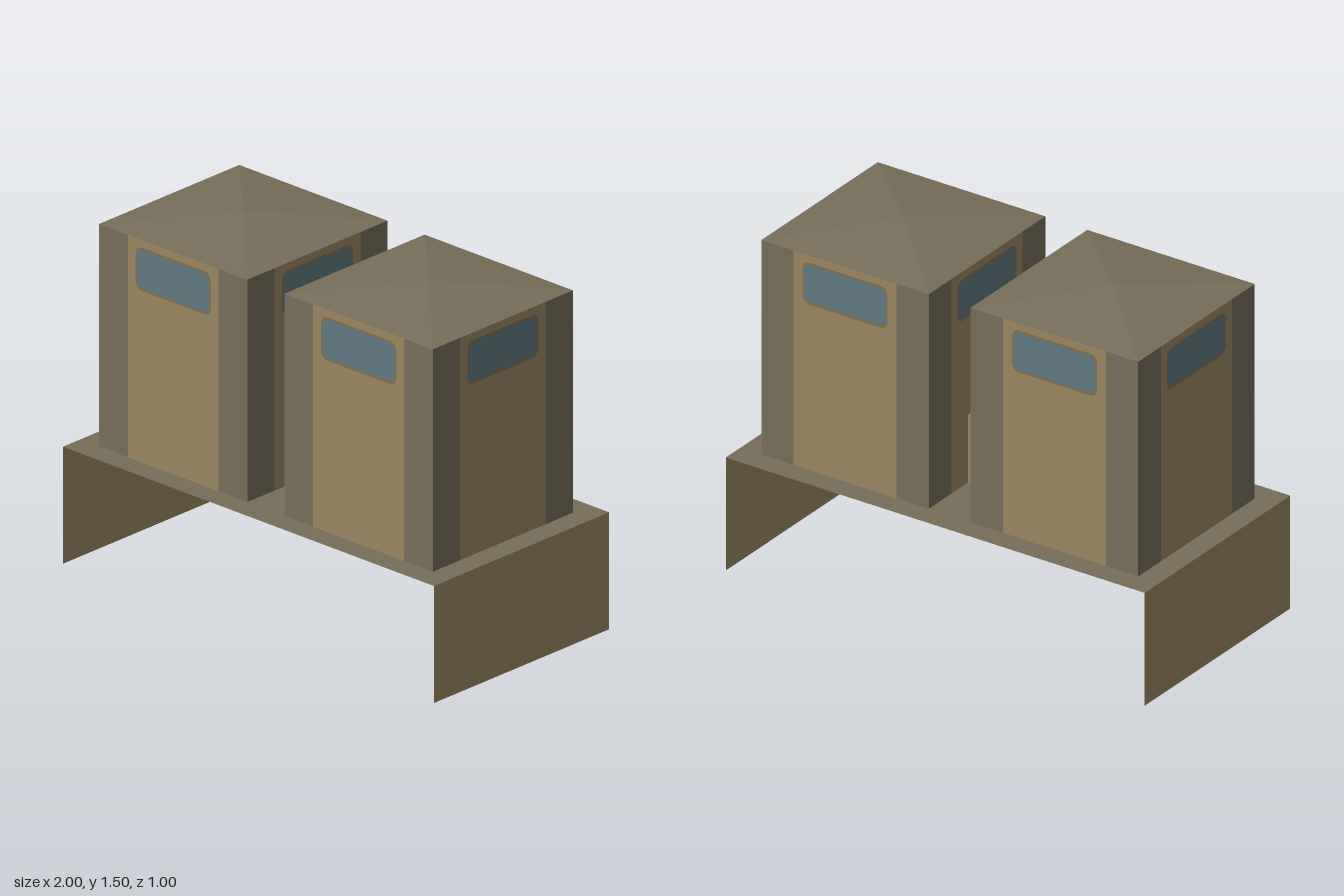
import * as THREE from 'three';

const flat = (name, color) => {
  const m = new THREE.MeshStandardMaterial({ color, side: THREE.DoubleSide, flatShading: true });
  m.name = name;
  return m;
};

// Shape or hole from [x, y] corners
const polygon = (points, Type = THREE.Shape) => new Type(points.map(([x, y]) => new THREE.Vector2(x, y)));

function roundedRect(Type, w, y0, y1, r) {
  const s = new Type();
  s.moveTo(-w + r, y0);
  s.lineTo(w - r, y0);
  s.quadraticCurveTo(w, y0, w, y0 + r);
  s.lineTo(w, y1 - r);
  s.quadraticCurveTo(w, y1, w - r, y1);
  s.lineTo(-w + r, y1);
  s.quadraticCurveTo(-w, y1, -w, y1 - r);
  s.lineTo(-w, y0 + r);
  s.quadraticCurveTo(-w, y0, -w + r, y0);
  return s;
}

export function createModel() {
  const tan = flat('tan wall', 0x9b8760);
  const grey = flat('grey brown trim', 0x776e59);
  const brown = flat('window surround', 0x85704f);
  const blue = flat('blue glass', 0x5f7880);

  const DECK = 0.5, EAVES = 1.45, TOP = 1.5; // heights
  const HALF = 0.4, BAND = 0.245;            // half tower width, half centre panel
  const DOOR = 0.13, DOOR_TOP = 0.8;         // passage between the towers

  const sheet = (parent, name, shape, material) => {
    const mesh = new THREE.Mesh(new THREE.ShapeGeometry(shape, 5), material);
    mesh.name = name;
    parent.add(mesh);
    return mesh;
  };

  // One tower side: tan panel between two grey corner bands, with a window
  function wall(hasDoor) {
    const g = new THREE.Group();
    g.name = hasDoor ? 'wallWithDoorway' : 'wall';
    const door = hasDoor ? [[-DOOR, DECK], [-DOOR, DOOR_TOP], [DOOR, DOOR_TOP], [DOOR, DECK]] : [];
    const panel = polygon([[-BAND, DECK], ...door, [BAND, DECK], [BAND, EAVES], [-BAND, EAVES]]);
    panel.holes.push(roundedRect(THREE.Path, 0.203, 1.232, 1.418, 0.04));
    sheet(g, 'centrePanel', panel, tan);

    const surround = roundedRect(THREE.Shape, 0.203, 1.232, 1.418, 0.04);
    surround.holes.push(roundedRect(THREE.Path, 0.196, 1.243, 1.408, 0.035));
    sheet(g, 'windowSurround', surround, brown);
    sheet(g, 'window', roundedRect(THREE.Shape, 0.196, 1.243, 1.408, 0.035), blue);

    for (const [a, b] of [[-HALF, -BAND], [BAND, HALF]]) {
      sheet(g, 'cornerBand', polygon([[a, DECK], [b, DECK], [b, EAVES], [a, EAVES]]), grey);
    }
    return g;
  }

  // Four walls under a low pyramid roof; doorSide is the index of the inner wall
  function tower(name, x, doorSide) {
    const g = new THREE.Group();
    g.name = name;
    g.position.x = x;
    for (let i = 0; i < 4; i++) {
      const side = wall(i === doorSide);
      const angle = i * Math.PI / 2;
      side.rotation.y = angle;
      side.position.set(Math.sin(angle) * HALF, 0, Math.cos(angle) * HALF);
      g.add(side);
    }
    const cone = new THREE.ConeGeometry(HALF * Math.SQRT2, TOP - EAVES, 4, 1, true);
    cone.rotateY(Math.PI / 4);
    const roof = new THREE.Mesh(cone, grey);
    roof.name = 'roof';
    roof.position.y = (TOP + EAVES) / 2;
    g.add(roof);
    return g;
  }

  const model = new THREE.Group();
  model.name = 'twinTowers';
  model.add(tower('leftTower', 0.5, 3), tower('rightTower', -0.5, 1));

  // Deck, open beneath the towers and the passage
  const deckShape = polygon([[-1, -0.5], [1, -0.5], [1, 0.5], [-1, 0.5]]);
  deckShape.holes.push(polygon([
    [-0.9, -HALF], [-0.1, -HALF], [-0.1, -DOOR], [0.1, -DOOR], [0.1, -HALF], [0.9, -HALF],
    [0.9, HALF], [0.1, HALF], [0.1, DOOR], [-0.1, DOOR], [-0.1, HALF], [-0.9, HALF],
  ], THREE.Path));
  const deck = sheet(model, 'deck', deckShape, grey);
  deck.rotation.x = -Math.PI / 2;
  deck.position.y = DECK;

  // Passage: two side walls and a flat top
  const plate = (name, w, h) => {
    const mesh = new THREE.Mesh(new THREE.PlaneGeometry(w, h), tan);
    mesh.name = name;
    model.add(mesh);
    return mesh;
  };
  for (const s of [1, -1]) {
    const side = plate('passageWall', 0.2, DOOR_TOP - DECK);
    side.position.set(0, (DECK + DOOR_TOP) / 2, s * DOOR);
    side.rotation.y = s > 0 ? 0 : Math.PI;

    // End supports carrying the deck
    const support = plate('endSupport', 1, DECK);
    support.position.set(s, DECK / 2, 0);
    support.rotation.y = s * Math.PI / 2;
  }
  const top = plate('passageTop', 0.2, DOOR * 2);
  top.rotation.x = -Math.PI / 2;
  top.position.y = DOOR_TOP;

  return model;
}
